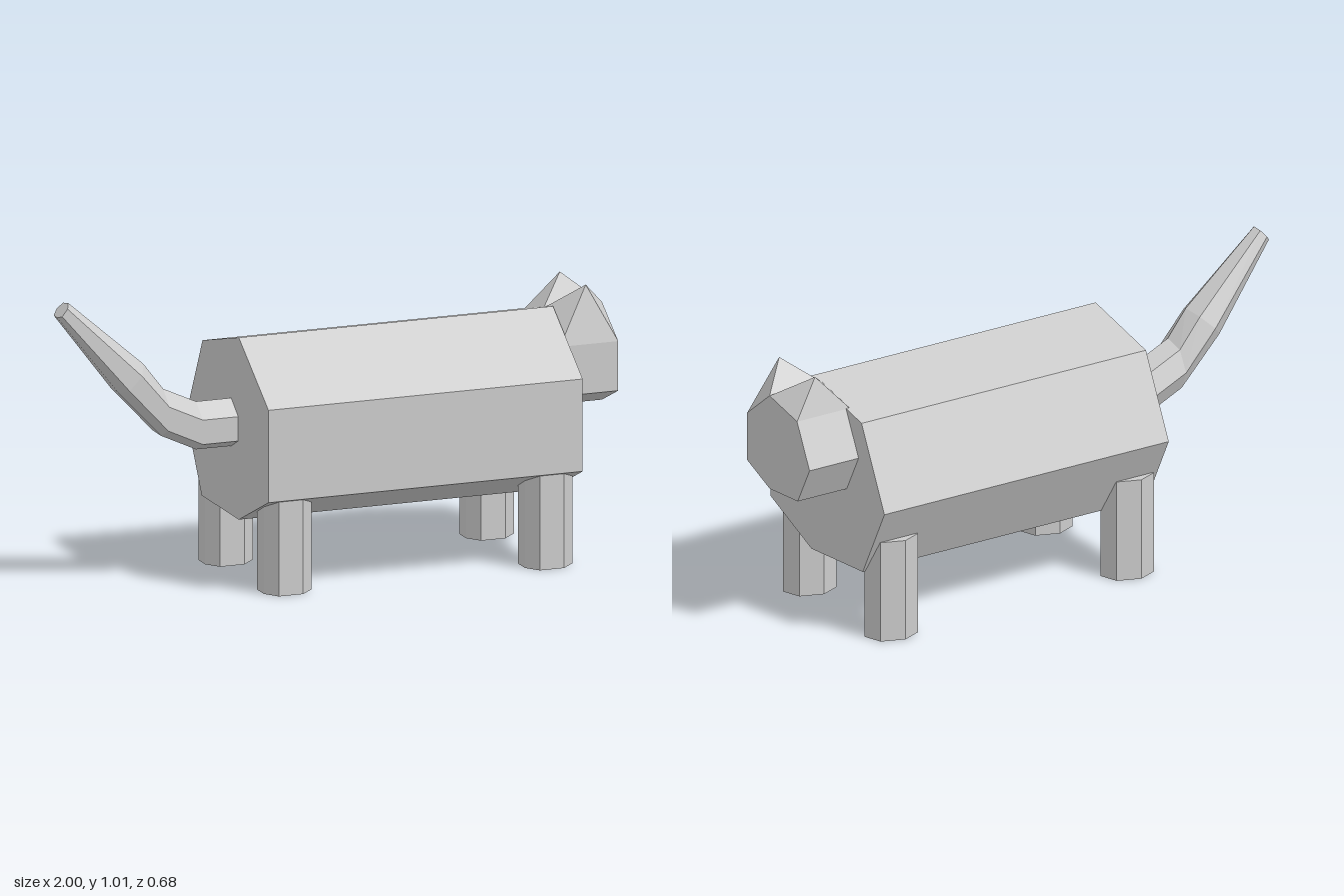
import * as THREE from 'three';

// Seven-sided cross-section shared by every part: [across (z), up]
const PROFILE = [[1, 0.365], [0.28, 1], [-0.6, 0.77], [-1, -0.14], [-0.62, -0.94], [0.28, -1], [1, -0.65]];

// One ring: centre, half width in z, and the vector the profile's "up" follows
function ring(cx, cy, cz, halfZ, upX, upY) {
  return PROFILE.map(([w, u]) => new THREE.Vector3(cx + u * upX, cy + u * upY, cz + w * halfZ));
}

function facetedMesh(name, triangles) {
  const geometry = new THREE.BufferGeometry().setFromPoints(triangles);
  geometry.computeVertexNormals();
  const material = new THREE.MeshStandardMaterial({ color: 0xcccccc, flatShading: true });
  const mesh = new THREE.Mesh(geometry, material);
  mesh.name = name;
  return mesh;
}

// Closed solid through a row of rings
function loft(name, rings) {
  const n = PROFILE.length;
  const tris = [];
  for (let i = 0; i < rings.length - 1; i++) {
    for (let k = 0; k < n; k++) {
      const a = rings[i][k], b = rings[i][(k + 1) % n];
      const d = rings[i + 1][k], c = rings[i + 1][(k + 1) % n];
      tris.push(a, d, c, a, c, b);
    }
  }
  const first = rings[0], last = rings[rings.length - 1];
  for (let k = 1; k < n - 1; k++) {
    tris.push(first[0], first[k], first[k + 1]);
    tris.push(last[0], last[k + 1], last[k]);
  }
  return facetedMesh(name, tris);
}

// Four-sided pyramid standing on one facet between two rings
function pyramid(name, back, front, k, apex) {
  const base = [back[k], front[k], front[k + 1], back[k + 1]];
  const tris = [];
  base.forEach((p, i) => tris.push(p, base[(i + 1) % 4], apex));
  return facetedMesh(name, tris);
}

export function createModel() {
  const model = new THREE.Group();
  model.name = 'cat';

  // Body
  model.add(loft('body', [-0.36, 0.8].map((x) => ring(x, 0.535, 0, 0.342, 0, 0.315))));

  // Head with a pointed ear on each of its two upper facets
  const head = new THREE.Group();
  head.name = 'head';
  const [back, front] = [0.785, 1].map((x) => ring(x, 0.668, 0, 0.187, 0, 0.169));
  head.add(loft('skull', [back, front]));
  head.add(pyramid('rightEar', back, front, 0, new THREE.Vector3(0.9, 0.925, 0.142)));
  head.add(pyramid('leftEar', back, front, 1, new THREE.Vector3(0.9, 0.925, -0.073)));
  model.add(head);

  // Legs, from the top down
  for (const [end, x] of [['front', 0.703], ['rear', -0.26]]) {
    for (const [side, z] of [['Right', 0.257], ['Left', -0.231]]) {
      model.add(loft(`${end}${side}Leg`, [0.36, 0].map((y) => ring(x, y, z, 0.076, 0.088, 0))));
    }
  }

  // Tail, from the tip to the body
  model.add(loft('tail', [
    ring(-0.98, 0.988, 0.018, 0.035, 0.02, 0.024),
    ring(-0.73, 0.73, 0.01, 0.079, 0.046, 0.046),
    ring(-0.615, 0.602, 0.01, 0.081, 0.004, 0.081),
    ring(-0.49, 0.545, 0.01, 0.081, 0, 0.083),
    ring(-0.35, 0.545, 0.01, 0.081, 0, 0.083),
  ]));

  return model;
}
